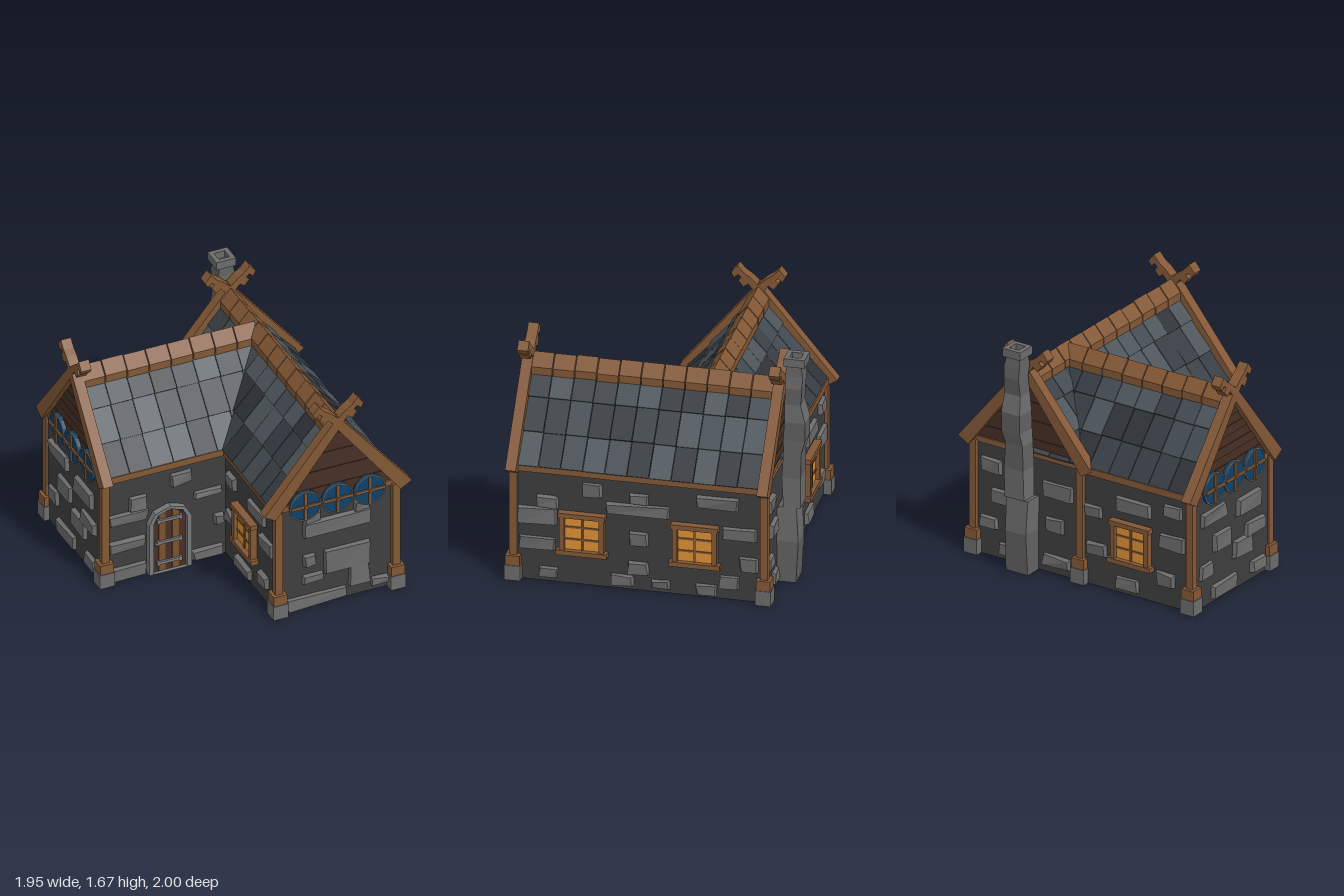
import * as THREE from 'three';

const mat = (color, double) => new THREE.MeshStandardMaterial({
  color, flatShading: true, side: double ? THREE.DoubleSide : THREE.FrontSide });
const wood = mat(0x835836), darkWood = mat(0x472f25, true), plank = mat(0x7a5030);
const plaster = mat(0x3e3e3e, true), stone = mat(0x6c6c6c), darkStone = mat(0x606060);
const amber = mat(0xe09236), blue = mat(0x0f4168, true), iron = mat(0x777a7c);
const slates = [0x2f3338, 0x393f45, 0x424a51, 0x4d555b, 0x363c43].map(c => mat(c));

let seed = 7;
const rnd = () => (seed = (seed * 16807) % 2147483647) / 2147483647;
const jitter = a => (rnd() - 0.5) * 2 * a;

function add(parent, name, geo, material, x = 0, y = 0, z = 0) {
  const m = new THREE.Mesh(geo, material);
  m.name = name;
  m.position.set(x, y, z);
  parent.add(m);
  return m;
}
const box = (p, name, m, w, h, d, x, y, z) => add(p, name, new THREE.BoxGeometry(w, h, d), m, x, y, z);
function group(parent, name, x, y, z, ry = 0) {
  const g = new THREE.Group();
  g.name = name;
  g.position.set(x, y, z);
  g.rotation.y = ry;
  parent.add(g);
  return g;
}
const poly = pts => new THREE.Shape(pts.map(p => new THREE.Vector2(p[0], p[1])));
const extrude = (shape, depth) => new THREE.ExtrudeGeometry(shape, { depth, bevelEnabled: false });

const PITCH = 1.22, EAVE = 0.46, WALL = 0.83;

// Rough wall stone: a box whose outer face is shrunk and skewed
function addStone(wall, [u0, u1, v0, v1]) {
  const w = u1 - u0, h = v1 - v0;
  const g = new THREE.BoxGeometry(w, h, 0.06), p = g.attributes.position;
  const moves = {};
  for (let i = 0; i < p.count; i++) {
    if (p.getZ(i) < 0) continue;
    const sx = Math.sign(p.getX(i)), sy = Math.sign(p.getY(i)), k = sx + ',' + sy;
    moves[k] ??= [0.006 + rnd() * 0.02, 0.004 + rnd() * 0.018, jitter(0.008)];
    p.setXYZ(i, p.getX(i) - sx * moves[k][0], p.getY(i) - sy * moves[k][1], 0.03 + moves[k][2]);
  }
  g.computeVertexNormals();
  add(wall, 'wallStone', g, stone, (u0 + u1) / 2, (v0 + v1) / 2, 0);
}

// Wall in local coordinates: u along x, outward is +z
function addWall(root, name, x, z, ry, u0, u1, stones) {
  const w = group(root, name, x, 0, z, ry);
  add(w, 'wallPanel', new THREE.PlaneGeometry(u1 - u0, WALL), plaster, (u0 + u1) / 2, WALL / 2, 0);
  stones.forEach(s => addStone(w, s));
  return w;
}

function addWindow(wall, u) {
  const g = group(wall, 'window', u, 0.385, 0);
  box(g, 'pane', amber, 0.25, 0.26, 0.036, 0, 0, 0);
  for (const s of [-1, 1]) {
    box(g, 'jamb', wood, 0.035, 0.26, 0.07, s * 0.137, 0, 0.012);
    box(g, 'sill', wood, s > 0 ? 0.33 : 0.355, 0.034, 0.085, 0, s * 0.14, 0.012);
    box(g, 'glazingBar', wood, 0.25, 0.013, 0.05, 0, s * 0.045, 0);
  }
  box(g, 'mullion', wood, 0.016, 0.25, 0.054, 0, 0, 0);
}

function addRoundWindow(parent, x, z) {
  const g = group(parent, 'roundWindow', x, 0.85, z);
  add(g, 'glass', new THREE.CylinderGeometry(0.112, 0.112, 0.03, 24), blue).rotation.x = Math.PI / 2;
  add(g, 'rim', new THREE.TorusGeometry(0.114, 0.006, 6, 28), iron, 0, 0, 0.014);
  box(g, 'crossBar', wood, 0.22, 0.022, 0.02, 0, 0, 0.016);
  box(g, 'uprightBar', wood, 0.022, 0.22, 0.02, 0, 0, 0.016);
  add(g, 'boss', new THREE.CylinderGeometry(0.014, 0.014, 0.03, 8), wood, 0, 0, 0.02).rotation.x = Math.PI / 2;
}

// Arched plank door with stone surround and straps
function addDoor(wall, u) {
  const g = group(wall, 'door', u, 0, 0);
  const arch = k => [[-k, 0], [k, 0], [k, 0.41], [k * 0.72, 0.41 + k * 0.5], [0, 0.41 + k * 0.74],
    [-k * 0.72, 0.41 + k * 0.5], [-k, 0.41]];
  const frame = poly(arch(0.158));
  frame.holes.push(new THREE.Path(arch(0.126).map(p => new THREE.Vector2(...p))));
  add(g, 'doorFrame', extrude(frame, 0.06), iron, 0, 0, -0.015);
  for (let i = 0; i < 5; i++) {
    const a = -0.126 + i * 0.0504, b = a + 0.049, top = x => 0.5 - Math.abs(x) * 0.62;
    const pts = [[a, 0], [b, 0], [b, top(b)], ...(i === 2 ? [[0, 0.5]] : []), [a, top(a)]];
    add(g, 'doorPlank', extrude(poly(pts), 0.035), i % 2 ? plank : darkWood, 0, 0, -0.018);
  }
  for (const y of [0.07, 0.235, 0.41]) {
    box(g, 'strap', iron, 0.18, 0.022, 0.02, 0, y, 0.022);
    for (const s of [-1, 1]) box(g, 'strapEnd', iron, 0.018, 0.036, 0.024, s * 0.085, y, 0.022);
  }
  add(g, 'handle', new THREE.SphereGeometry(0.011, 8, 6), iron, -0.1, 0.23, 0.026);
}

// Crossed gable boards with carved horns, depth along z
function addGableBoards(wing, z) {
  const g = group(wing, 'gableBoards', 0, 0, z);
  const board = [[0, 1.52], [0.55, 0.85], [0.465, 0.8], [0, 1.41]];
  const horn = [[-0.05, 1.46], [0.055, 1.56], [0.1, 1.59], [0.145, 1.64], [0.19, 1.585], [0.168, 1.548],
    [0.14, 1.575], [0.118, 1.555], [0.14, 1.53], [0.105, 1.485], [0.07, 1.51], [0, 1.42]];
  for (const s of [-1, 1]) {
    const m = pts => extrude(poly(pts.map(([x, y]) => [s * x, y])), 0.075);
    add(g, 'gableBoard', m(board), wood, 0, 0, -0.0375);
    add(g, 'gableHorn', m(horn), wood, 0, 0, -0.0375);
  }
}

// Horizontal planks filling the gable triangle
function addGableInfill(wing, z, dir) {
  const n = 9, top = 1.43, h = (top - 0.82) / n;
  for (let i = 0; i < n; i++) {
    const y = 0.82 + i * h, half = v => Math.max(0.002, (top - v) / 1.3);
    const a = half(y), b = half(y + h);
    const m = add(wing, 'gablePlank', extrude(poly([[-a, y], [a, y], [b, y + h], [-b, y + h]]), 0.02), darkWood, 0, 0, z - 0.01);
    m.position.z += dir * (i % 2) * 0.006;
  }
}

// Roofed wing: ridge along local z at x = 0
function addWing(root, name, x, z, ry, back, front, gables) {
  const w = group(root, name, x, 0, z, ry);
  const cols = Math.round((front - back) / 0.16), step = (front - back) / cols;
  const dx = EAVE / 3, len = dx * Math.hypot(1, PITCH) + 0.025, ang = Math.atan(PITCH) - 0.05;
  for (let c = 0; c < cols; c++) {
    const zc = back + (c + 0.5) * step;
    for (const s of [-1, 1]) for (let r = 0; r < 3; r++) {
      const mid = (r + 0.5) * dx;
      const t = box(w, 'slate', slates[Math.floor(rnd() * 5)], len, 0.022, step - 0.004,
        s * mid, 1.428 - PITCH * mid + jitter(0.003), zc);
      t.rotation.z = -s * (ang + jitter(0.012));
    }
    const cap = poly([[0, 1.5], [0.075, 1.415], [0.075, 1.36], [0, 1.44], [-0.075, 1.36], [-0.075, 1.415]]);
    add(w, 'ridgeCap', extrude(cap, step - 0.007), wood, 0, jitter(0.004), zc - step / 2);
  }
  for (const [gz, dir] of gables) {
    addGableBoards(w, gz);
    addGableInfill(w, gz - dir * 0.02, dir);
    box(w, 'tieBeam', wood, 0.9, 0.04, 0.03, 0, 0.845, gz - dir * 0.012);
  }
  for (const rx of [-0.24, 0, 0.24]) addRoundWindow(w, rx, gables[0][0] + 0.012);
  return w;
}

// Stacked crooked chimney: [y, centre x, centre z, half x, half z]
function addChimney(root) {
  const g = group(root, 'chimney', 0, 0, 0);
  const rings = [[0, 0.42, -0.87, 0.09, 0.065], [0.3, 0.42, -0.875, 0.085, 0.075], [0.55, 0.415, -0.87, 0.088, 0.067],
    [0.56, 0.42, -0.905, 0.08, 0.06], [0.78, 0.425, -0.9, 0.078, 0.066], [0.96, 0.42, -0.905, 0.07, 0.062],
    [1.06, 0.43, -0.92, 0.075, 0.075], [1.2, 0.43, -0.925, 0.075, 0.072], [1.33, 0.435, -0.91, 0.066, 0.056],
    [1.45, 0.44, -0.915, 0.06, 0.058], [1.54, 0.432, -0.917, 0.064, 0.062], [1.62, 0.43, -0.912, 0.05, 0.05]];
  for (let i = 0; i < rings.length - 1; i++) {
    const a = rings[i], b = rings[i + 1], geo = new THREE.BoxGeometry(1, 1, 1), p = geo.attributes.position;
    for (let k = 0; k < p.count; k++) {
      const q = p.getY(k) > 0 ? b : a;
      p.setXYZ(k, q[1] + 2 * p.getX(k) * q[3], q[0], q[2] + 2 * p.getZ(k) * q[4]);
    }
    geo.computeVertexNormals();
    add(g, 'chimneyBlock', geo, i % 2 ? stone : darkStone);
  }
  const sq = r => [[-r, -r], [r, -r], [r, r], [-r, r]];
  const cap = poly(sq(0.073));
  cap.holes.push(new THREE.Path(sq(0.04).map(p => new THREE.Vector2(...p))));
  add(g, 'chimneyCap', extrude(cap, 0.06), stone, 0.425, 1.612, -0.92).rotation.x = -Math.PI / 2;
}

export function createModel() {
  const root = new THREE.Group();
  root.name = 'cottage';
  const H = Math.PI / 2;

  // Walls with scattered stones [u0, u1, v0, v1]
  addWall(root, 'frontWall', 0, 0.93, 0, -0.02, 0.86, [[0.17, 0.68, 0.56, 0.7], [0.17, 0.32, 0.68, 0.77],
    [0.55, 0.68, 0.68, 0.77], [0.33, 0.68, 0.23, 0.43], [0.51, 0.68, 0.08, 0.25], [0.16, 0.33, 0.19, 0.27],
    [0.17, 0.28, 0.33, 0.43], [0.04, 0.5, 0, 0.1], [0.68, 0.83, 0.03, 0.11]]);
  const porch = addWall(root, 'doorWall', 0, 0.11, 0, -0.94, -0.02, [[-0.44, -0.27, 0.66, 0.77],
    [-0.75, -0.6, 0.54, 0.66], [-0.9, -0.6, 0.44, 0.55], [-0.9, -0.61, 0.23, 0.33], [-0.27, -0.04, 0.5, 0.57],
    [-0.12, -0.03, 0.25, 0.35], [-0.9, -0.61, 0, 0.11], [-0.28, -0.04, 0, 0.1]]);
  addDoor(porch, -0.45);
  const side = addWall(root, 'sideWall', 0.86, 0, H, -0.93, 0.8, [[-0.47, -0.32, 0.66, 0.77], [-0.79, -0.63, 0.55, 0.65],
    [-0.92, -0.64, 0.42, 0.56], [-0.92, -0.65, 0.23, 0.33], [-0.31, 0.15, 0.55, 0.65], [-0.15, 0, 0.64, 0.73],
    [0.32, 0.63, 0.66, 0.77], [0.5, 0.75, 0.44, 0.55], [-0.15, 0, 0.33, 0.44], [0.62, 0.77, 0.22, 0.33],
    [-0.16, 0, 0.11, 0.22], [-0.28, -0.1, 0.02, 0.11], [-0.78, -0.63, 0.02, 0.11], [0, 0.15, 0.02, 0.1],
    [0.32, 0.48, 0, 0.1], [0.48, 0.63, 0.08, 0.18]]);
  addWindow(side, -0.465);
  addWindow(side, 0.32);
  const inner = addWall(root, 'innerSideWall', -0.02, 0, -H, 0.11, 0.93, [[0.16, 0.3, 0.6, 0.72], [0.5, 0.78, 0.6, 0.7],
    [0.7, 0.9, 0.42, 0.54], [0.14, 0.28, 0.3, 0.4], [0.68, 0.82, 0.12, 0.23], [0.3, 0.55, 0.02, 0.12]]);
  addWindow(inner, 0.465);
  const rear = addWall(root, 'backWall', 0, -0.8, 2 * H, -0.86, 0.94, [[-0.8, -0.62, 0.62, 0.73], [-0.72, -0.53, 0.4, 0.52],
    [-0.82, -0.66, 0.2, 0.3], [-0.66, -0.53, 0.03, 0.13], [-0.3, -0.04, 0.56, 0.68], [-0.28, -0.12, 0.3, 0.42],
    [-0.3, -0.06, 0.04, 0.14], [0.04, 0.2, 0.5, 0.6], [0.06, 0.24, 0.22, 0.33], [0.3, 0.6, 0.6, 0.72],
    [0.66, 0.88, 0.42, 0.54], [0.7, 0.86, 0.66, 0.76], [0.64, 0.8, 0.14, 0.25], [0.3, 0.5, 0.02, 0.13]]);
  addWindow(rear, 0.44);
  addWall(root, 'endWall', -0.94, 0, -H, -0.8, 0.11, [[-0.72, -0.42, 0.58, 0.7], [-0.3, -0.02, 0.52, 0.66],
    [-0.58, -0.36, 0.36, 0.5], [-0.74, -0.58, 0.2, 0.32], [-0.34, -0.12, 0.22, 0.36], [-0.2, 0.04, 0.34, 0.44],
    [-0.6, -0.3, 0.02, 0.13], [-0.14, 0.04, 0.04, 0.14]]);

  // Roofed wings
  addWing(root, 'mainWing', 0.42, 0, 0, -0.77, 0.92, [[0.945, 1], [-0.805, -1]]);
  addWing(root, 'sideWing', 0, -0.34, -H, -0.4, 0.91, [[0.9375, 1]]);

  // Eave beams
  box(root, 'eaveBeam', wood, 0.05, 0.05, 1.72, 0.87, 0.845, 0.07);
  box(root, 'eaveBeam', wood, 0.05, 0.05, 0.82, -0.025, 0.845, 0.52);
  for (const z of [0.12, -0.805]) box(root, 'eaveBeam', wood, 0.93, 0.05, 0.05, -0.47, 0.845, z);

  // Corner posts on footings
  for (const [x, z] of [[0.86, 0.945], [-0.015, 0.945], [0.86, -0.8], [-0.02, -0.8], [-0.925, -0.8], [-0.925, 0.11]]) {
    const g = group(root, 'cornerPost', x, 0, z);
    box(g, 'postShaft', wood, 0.055, 0.68, 0.055, 0, 0.5, 0);
    box(g, 'postCollar', wood, 0.1, 0.075, 0.1, 0, 0.145, 0);
    box(g, 'postFooting', stone, 0.11, 0.11, 0.11, 0, 0.055, 0);
  }
  addChimney(root);
  return root;
}
